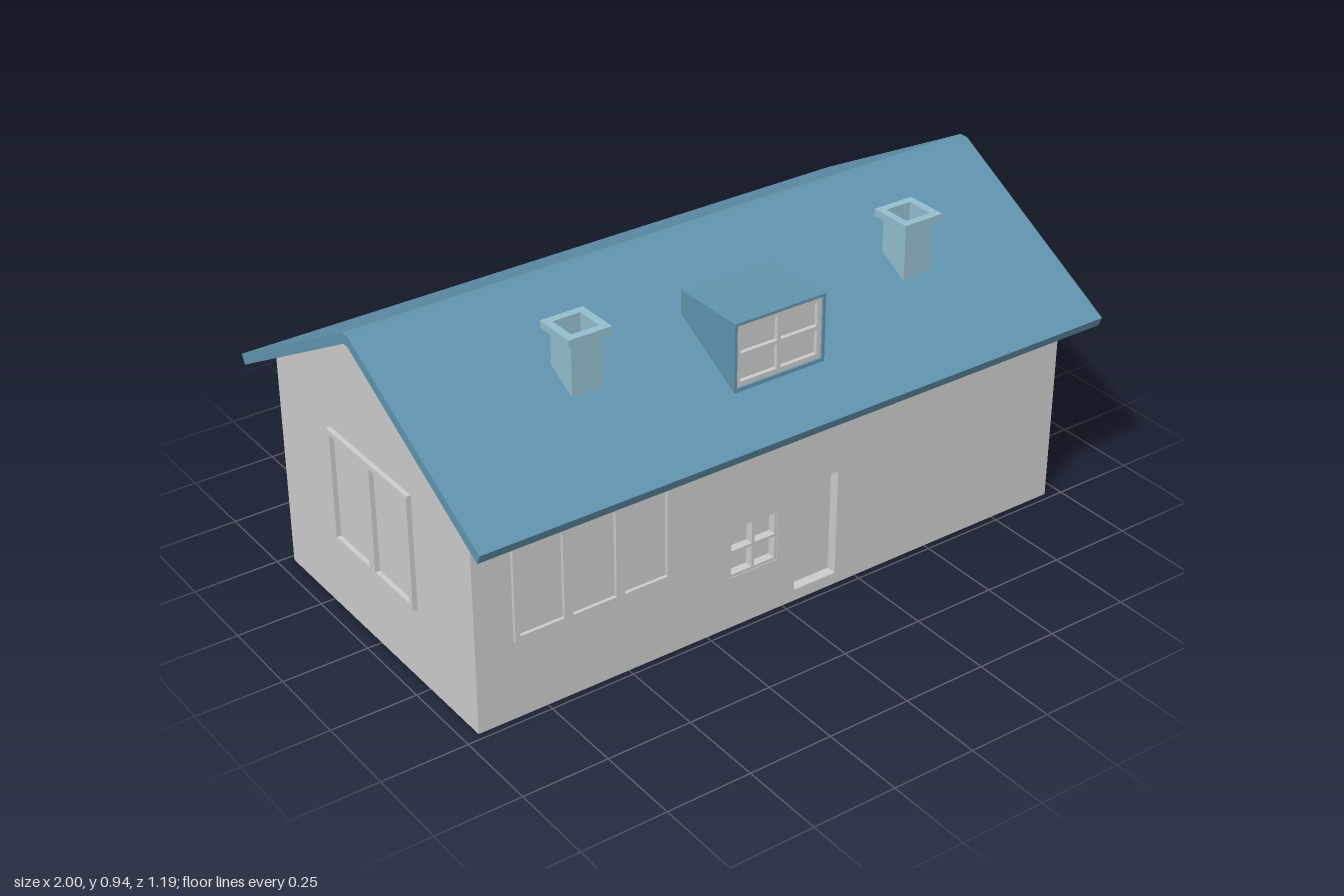
import * as THREE from 'three';

const wallMat = new THREE.MeshStandardMaterial({ color: 0xcccccc });
const roofMat = new THREE.MeshStandardMaterial({ color: 0x6193ae });
const chimneyMat = new THREE.MeshStandardMaterial({ color: 0x93bece });

function rectPath(path, x0, y0, x1, y1) {
  path.moveTo(x0, y0);
  path.lineTo(x1, y0);
  path.lineTo(x1, y1);
  path.lineTo(x0, y1);
  path.closePath();
  return path;
}

function mesh(name, geometry, material) {
  const m = new THREE.Mesh(geometry, material);
  m.name = name;
  return m;
}

// Rectangular slab [x0, y0, x1, y1] with rectangular holes, extruded along +z
function slab(rect, holes, depth) {
  const shape = rectPath(new THREE.Shape(), ...rect);
  holes.forEach((h) => shape.holes.push(rectPath(new THREE.Path(), ...h)));
  return new THREE.ExtrudeGeometry(shape, { depth, bevelEnabled: false });
}

// Window frame divided into a grid of panes
function frame(rect, cols, rows, border, bar, depth) {
  const [x0, y0, x1, y1] = rect;
  const w = (x1 - x0 - 2 * border - (cols - 1) * bar) / cols;
  const h = (y1 - y0 - 2 * border - (rows - 1) * bar) / rows;
  const holes = [];
  for (let c = 0; c < cols; c++) {
    for (let r = 0; r < rows; r++) {
      const x = x0 + border + c * (w + bar);
      const y = y0 + border + r * (h + bar);
      holes.push([x, y, x + w, y + h]);
    }
  }
  return slab(rect, holes, depth);
}

// Profile of [z, y] points extruded along x between two positions
function extrudeAlongX(points, x0, x1) {
  const shape = new THREE.Shape(points.map(([z, y]) => new THREE.Vector2(-z, y)));
  const g = new THREE.ExtrudeGeometry(shape, { depth: x1 - x0, bevelEnabled: false });
  return g.rotateY(Math.PI / 2).translate(x0, 0, 0);
}

function createChimney(x) {
  const g = new THREE.Group();
  g.name = 'chimney';
  const square = (s) => [-s, -s, s, s];
  const tube = (outer, inner, y0, y1) =>
    slab(square(outer), [square(inner)], y1 - y0).rotateX(-Math.PI / 2).translate(0, y0, 0);
  g.add(mesh('chimneyShaft', tube(0.046, 0.041, 0.74, 0.92), chimneyMat));
  g.add(mesh('chimneyCap', tube(0.064, 0.041, 0.918, 0.938), chimneyMat));
  // Floor of the flue
  const floor = new THREE.BoxGeometry(0.084, 0.06, 0.084).translate(0, 0.79, 0);
  g.add(mesh('chimneyFlueFloor', floor, chimneyMat));
  g.position.set(x, 0, 0.281);
  return g;
}

function createDormer() {
  const g = new THREE.Group();
  g.name = 'dormer';
  const body = new THREE.BoxGeometry(0.29, 0.213, 0.21).translate(-0.002, 0.7865, 0.325);
  g.add(mesh('dormerBody', body, roofMat));
  const rim = slab([-0.147, 0.68, 0.143, 0.893], [[-0.139, 0.705, 0.135, 0.885]], 0.022);
  g.add(mesh('dormerRim', rim.translate(0, 0, 0.429), roofMat));
  const pane = new THREE.BoxGeometry(0.274, 0.18, 0.004).translate(-0.002, 0.795, 0.431);
  g.add(mesh('dormerPane', pane, wallMat));
  const bars = frame([-0.139, 0.705, 0.135, 0.885], 2, 2, 0.014, 0.012, 0.013);
  g.add(mesh('dormerWindowFrame', bars.translate(0, 0, 0.432), wallMat));
  return g;
}

export function createModel() {
  const house = new THREE.Group();
  house.name = 'house';
  const left = 0.955, right = -0.957, front = 0.48, recess = 0.45;

  // Walls: gabled core, with a front wall slab holding the openings
  const core = [[recess, 0], [recess, 0.661], [0, 0.912], [-0.48, 0.644], [-0.48, 0]].reverse();
  house.add(mesh('walls', extrudeAlongX(core, right, left), wallMat));
  const doorHole = [0.04, 0.035, 0.18, 0.36];
  const windowHole = [-0.18, 0.157, -0.02, 0.315];
  const frontWall = slab([right, 0, left, 0.644], [doorHole, windowHole], front - recess);
  house.add(mesh('frontWall', frontWall.translate(0, 0, recess), wallMat));

  // Small front window and wide front window
  const small = frame(windowHole, 2, 2, 0.009, 0.008, 0.024).translate(0, 0, recess + 0.004);
  house.add(mesh('smallWindowFrame', small, wallMat));
  const wide = frame([-0.845, 0.238, -0.37, 0.52], 3, 1, 0.014, 0.026, 0.01);
  house.add(mesh('frontWindowFrame', wide.translate(0, 0, front), wallMat));

  // Gable windows
  const leftWindow = frame([-0.378, 0.223, 0.392, 0.565], 4, 1, 0.015, 0.03, 0.014);
  house.add(mesh('leftGableWindowFrame',
    leftWindow.rotateY(Math.PI / 2).translate(left, 0, 0), wallMat));
  const rightWindow = frame([-0.2, 0.223, 0.205, 0.565], 2, 1, 0.015, 0.03, 0.014);
  house.add(mesh('rightGableWindowFrame',
    rightWindow.rotateY(-Math.PI / 2).translate(right, 0, 0), wallMat));

  // Roof: bent slab with a narrow flat ridge
  const half = [[0.014, 0.938], [0.597, 0.613], [0.585, 0.585], [0.01, 0.908]];
  const mirrored = half.map(([z, y]) => [-z, y]).reverse();
  house.add(mesh('roof', extrudeAlongX([...half, ...mirrored], -1, 1), roofMat));

  house.add(createDormer());
  [-0.51, 0.557].forEach((x) => house.add(createChimney(x)));
  return house;
}
